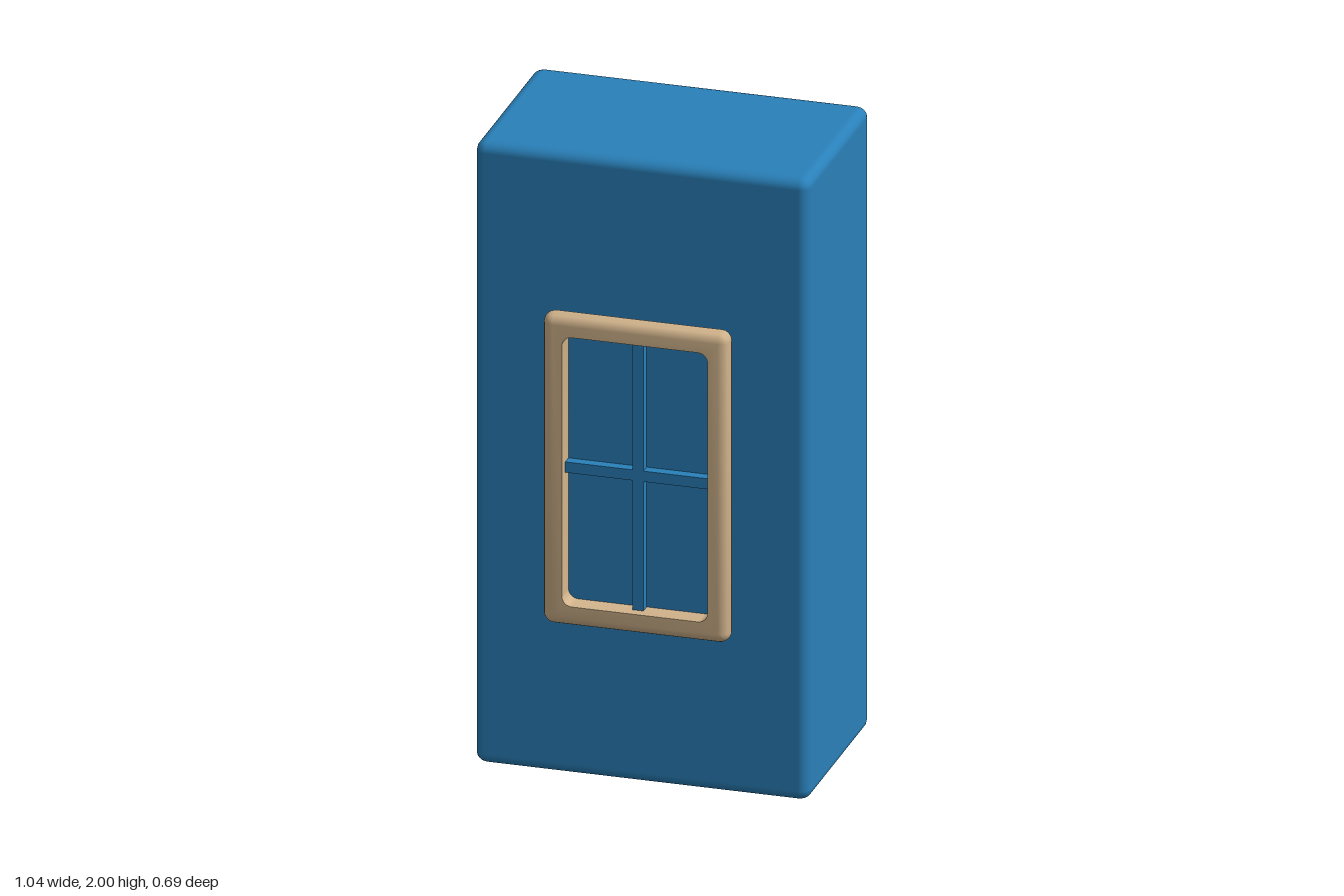
import * as THREE from 'three';
import { toCreasedNormals } from 'three/addons/utils/BufferGeometryUtils.js';
import { RoundedBoxGeometry } from 'three/addons/geometries/RoundedBoxGeometry.js';

const FRONT = 0.278; // z of the cabinet's front face
const CORNER_STEPS = 6;

// Rounded rectangle: core corners at (±cx, ±cy), widened by radius r, counter-clockwise
function ring(cx, cy, r, z) {
  const points = [];
  [[1, 1], [-1, 1], [-1, -1], [1, -1]].forEach(([sx, sy], corner) => {
    for (let i = 0; i <= CORNER_STEPS; i++) {
      const a = (corner + i / CORNER_STEPS) * Math.PI / 2;
      points.push([sx * cx + r * Math.cos(a), sy * cy + r * Math.sin(a), z]);
    }
  });
  return points;
}

// Joins successive rings with quads
function loft(rings) {
  const n = rings[0].length;
  const index = [];
  for (let k = 0; k < rings.length - 1; k++) {
    for (let i = 0; i < n; i++) {
      const a = k * n + i, b = k * n + (i + 1) % n;
      index.push(a, b, b + n, a, b + n, a + n);
    }
  }
  const geometry = new THREE.BufferGeometry();
  geometry.setAttribute('position', new THREE.Float32BufferAttribute(rings.flat(2), 3));
  geometry.setIndex(index);
  return toCreasedNormals(geometry, 0.7);
}

// Frame with a half-round outer edge and a straight-walled opening
function frameGeometry(halfW, halfH, openW, openH, r) {
  const hole = 0.03;
  const inner = z => ring(openW - hole, openH - hole, hole, z);
  const rings = [inner(-r)];
  for (let i = 0; i <= 10; i++) {
    const a = -Math.PI / 2 + Math.PI * i / 10;
    rings.push(ring(halfW - r, halfH - r, Math.max(r * Math.cos(a), 1e-5), r * Math.sin(a)));
  }
  rings.push(inner(r), inner(-r));
  return loft(rings);
}

export function createModel() {
  const blue = new THREE.MeshStandardMaterial({ color: 0x2980b9 });
  blue.name = 'blue paint';
  const tan = new THREE.MeshStandardMaterial({ color: 0xd2b48c });
  tan.name = 'tan trim';

  const model = new THREE.Group();
  const add = (name, geometry, material, x, y, z) => {
    const mesh = new THREE.Mesh(geometry, material);
    mesh.name = name;
    mesh.position.set(x, y, z);
    model.add(mesh);
  };

  // Solid body with softened edges
  const back = -0.344;
  add('body', new RoundedBoxGeometry(1.04, 2, FRONT - back, 2, 0.034), blue, 0, 1, (FRONT + back) / 2);

  // Window frame on the front
  add('windowFrame', frameGeometry(0.29, 0.5, 0.226, 0.433, 0.033), tan, 0, 1.003, FRONT + 0.033);

  // Crossing window bars
  add('verticalBar', new THREE.BoxGeometry(0.034, 0.866, 0.034), blue, 0, 1.003, FRONT + 0.016);
  add('horizontalBar', new THREE.BoxGeometry(0.452, 0.034, 0.034), blue, 0, 1.003, FRONT + 0.016);

  return model;
}
